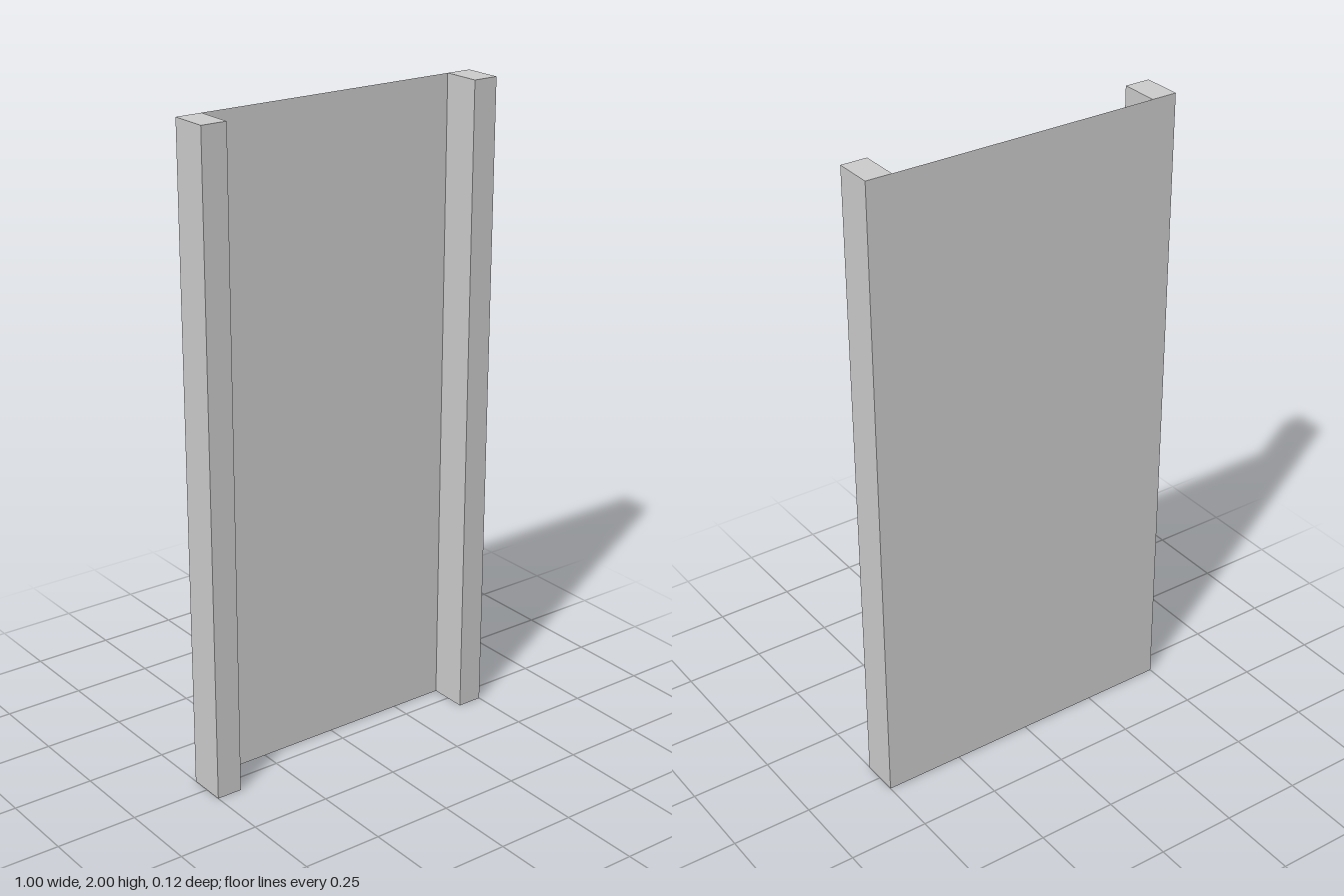
import * as THREE from 'three';

const WIDTH = 1, HEIGHT = 2, DEPTH = 0.12, POST = 0.08;

export function createModel() {
  const model = new THREE.Group();
  model.name = 'framedPanel';
  const grey = new THREE.MeshStandardMaterial({ color: 0xcccccc, flatShading: true });
  const thin = grey.clone();
  thin.side = THREE.DoubleSide;

  // Side posts; their rear face (the last six indices) is closed by the panel
  const postGeometry = new THREE.BoxGeometry(POST, HEIGHT, DEPTH);
  postGeometry.setIndex(Array.from(postGeometry.index.array).slice(0, 30));
  postGeometry.clearGroups();
  for (const [name, side] of [['leftPost', 1], ['rightPost', -1]]) {
    const post = new THREE.Mesh(postGeometry, grey);
    post.name = name;
    post.position.set(side * (WIDTH - POST) / 2, HEIGHT / 2, 0);
    model.add(post);
  }

  // Thin sheet across the whole back
  const panel = new THREE.Mesh(new THREE.PlaneGeometry(WIDTH, HEIGHT), thin);
  panel.name = 'backPanel';
  panel.rotation.y = Math.PI;
  panel.position.set(0, HEIGHT / 2, -DEPTH / 2);
  model.add(panel);

  return model;
}
